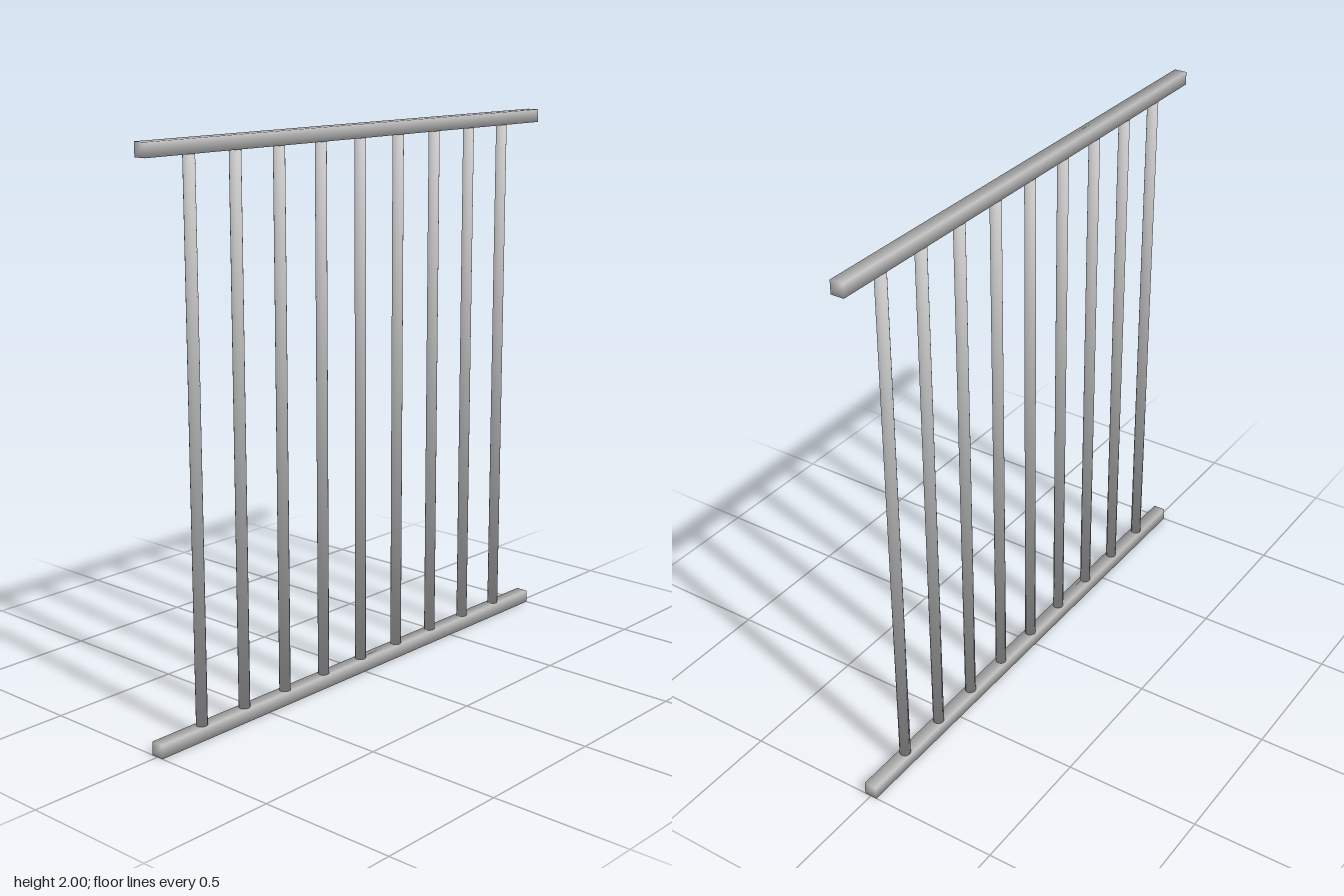
import * as THREE from 'three';

const RAIL = 0.048;
const BAR_RADIUS = 0.02;
const BAR_COUNT = 9;
const BAR_SPACING = 0.2;

// Soft shading: normals lean equally towards all faces meeting at a corner
function soften(geometry, rule) {
  const { position, normal } = geometry.attributes;
  const v = new THREE.Vector3();
  for (let i = 0; i < position.count; i++) {
    rule(v.fromBufferAttribute(position, i));
    v.normalize();
    normal.setXYZ(i, v.x, v.y, v.z);
  }
  return geometry;
}

export function createModel() {
  const group = new THREE.Group();
  group.name = 'railing';
  const steel = new THREE.MeshStandardMaterial({ color: 0xc4c4c4 });
  steel.name = 'light grey steel';

  // Square rails at the bottom and top
  const railGeometry = soften(new THREE.BoxGeometry(2, RAIL, RAIL),
    (v) => v.set(Math.sign(v.x), Math.sign(v.y), Math.sign(v.z)));
  for (const [name, y] of [['bottomRail', RAIL / 2], ['topRail', 2 - RAIL / 2]]) {
    const rail = new THREE.Mesh(railGeometry, steel);
    rail.name = name;
    rail.position.y = y;
    group.add(rail);
  }

  // Evenly spaced round bars, set slightly into the rails
  const barGeometry = soften(new THREE.CylinderGeometry(BAR_RADIUS, BAR_RADIUS, 2 - 2 * RAIL + 0.01, 16),
    (v) => v.set(v.x / BAR_RADIUS, Math.sign(v.y), v.z / BAR_RADIUS));
  for (let i = 0; i < BAR_COUNT; i++) {
    const bar = new THREE.Mesh(barGeometry, steel);
    bar.name = `bar${i + 1}`;
    bar.position.set((i - (BAR_COUNT - 1) / 2) * BAR_SPACING, 1, 0);
    group.add(bar);
  }
  return group;
}
